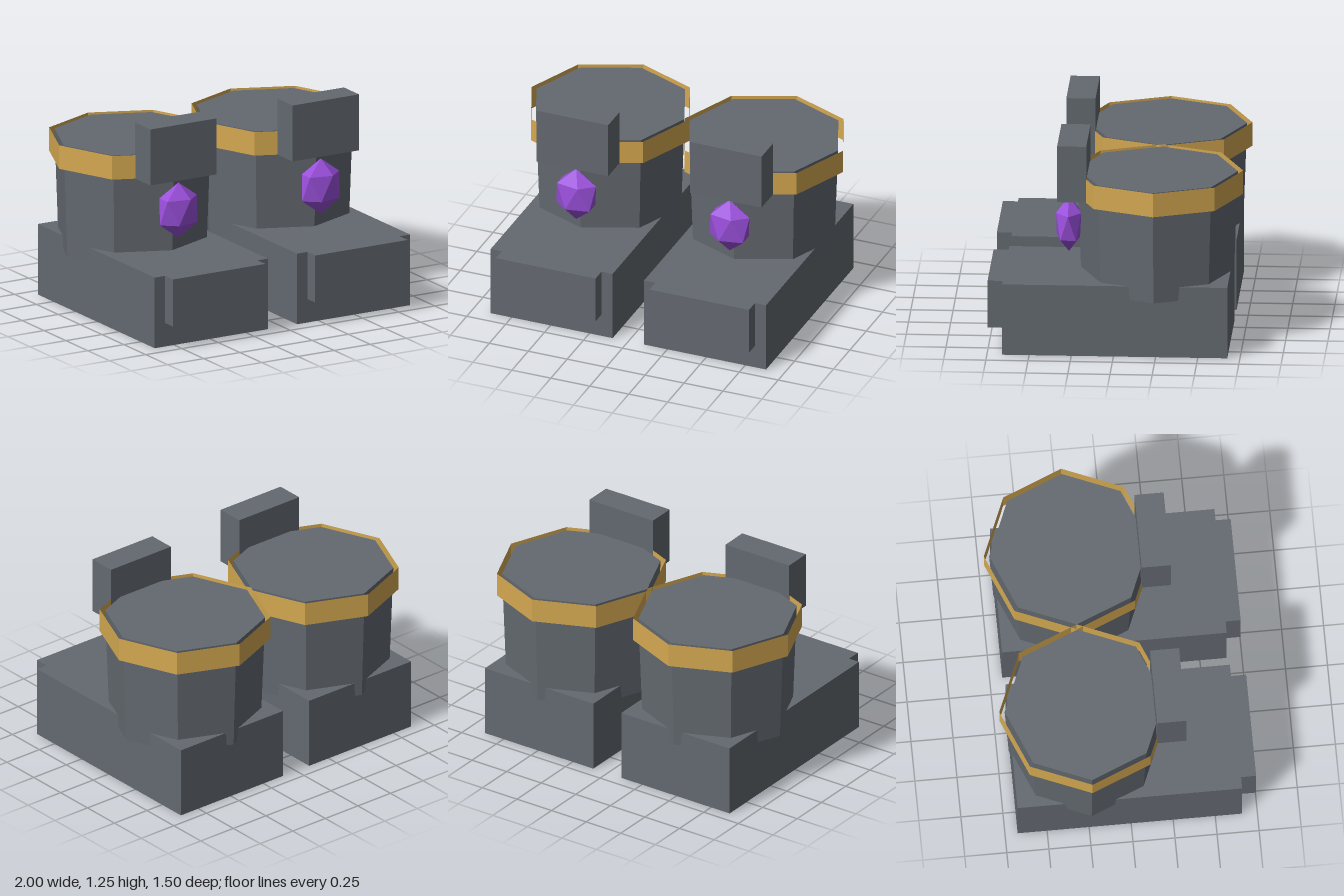
import * as THREE from 'three';

const mat = (name, color, extra = {}) => {
  const m = new THREE.MeshStandardMaterial({ color, flatShading: true, ...extra });
  m.name = name;
  return m;
};

// Faceted gem: two poles and two staggered five-point rings, stretched to size
function gemGeometry(rx, ry, rz) {
  const h = 1 / Math.sqrt(5), r = 2 * h;
  const ring = (y, turn) => Array.from({ length: 5 }, (_, i) => {
    const a = (i + turn) * Math.PI * 2 / 5;
    return new THREE.Vector3(r * Math.cos(a), y, r * Math.sin(a));
  });
  const up = ring(h, 0), low = ring(-h, 0.5);
  const top = new THREE.Vector3(0, 1, 0), bottom = new THREE.Vector3(0, -1, 0);
  const points = [];
  for (let i = 0; i < 5; i++) {
    const j = (i + 1) % 5;
    points.push(top, up[j], up[i], up[i], up[j], low[i]);
    points.push(up[j], low[j], low[i], bottom, low[i], low[j]);
  }
  const g = new THREE.BufferGeometry().setFromPoints(points);
  g.scale(rx, ry, rz);
  g.computeVertexNormals();
  return g;
}

export function createModel() {
  const grey = mat('slate grey', 0x636970);
  const gold = mat('gold', 0xd4a850, { side: THREE.DoubleSide });
  const purple = mat('purple', 0x9b4fdc);

  const model = new THREE.Group();
  model.name = 'bootPair';

  for (const [name, x] of [['leftBoot', 0.4925], ['rightBoot', -0.4925]]) {
    const boot = new THREE.Group();
    boot.name = name;
    boot.position.x = x;
    const add = (part, geometry, material, y, z) => {
      const mesh = new THREE.Mesh(geometry, material);
      mesh.name = part;
      mesh.position.set(0, y, z);
      boot.add(mesh);
    };

    // Foot block and toe cap
    add('foot', new THREE.BoxGeometry(0.783, 0.435, 1.335), grey, 0.2175, -0.0075);
    add('toeCap', new THREE.BoxGeometry(0.64, 0.29, 0.19), grey, 0.29, 0.655);
    // Tapered eight-sided shaft with an open gold band around its top
    add('shaft', new THREE.CylinderGeometry(0.476, 0.451, 0.69, 8), grey, 0.695, -0.24);
    add('cuffBand', new THREE.CylinderGeometry(0.5075, 0.5075, 0.145, 8, 1, true), gold, 0.9725, -0.24);
    // Knee guard and gem on the front
    add('kneeGuard', new THREE.BoxGeometry(0.46, 0.345, 0.173), grey, 1.0725, 0.2565);
    add('gem', gemGeometry(0.143, 0.17, 0.088), purple, 0.7, 0.285);
    model.add(boot);
  }
  return model;
}
